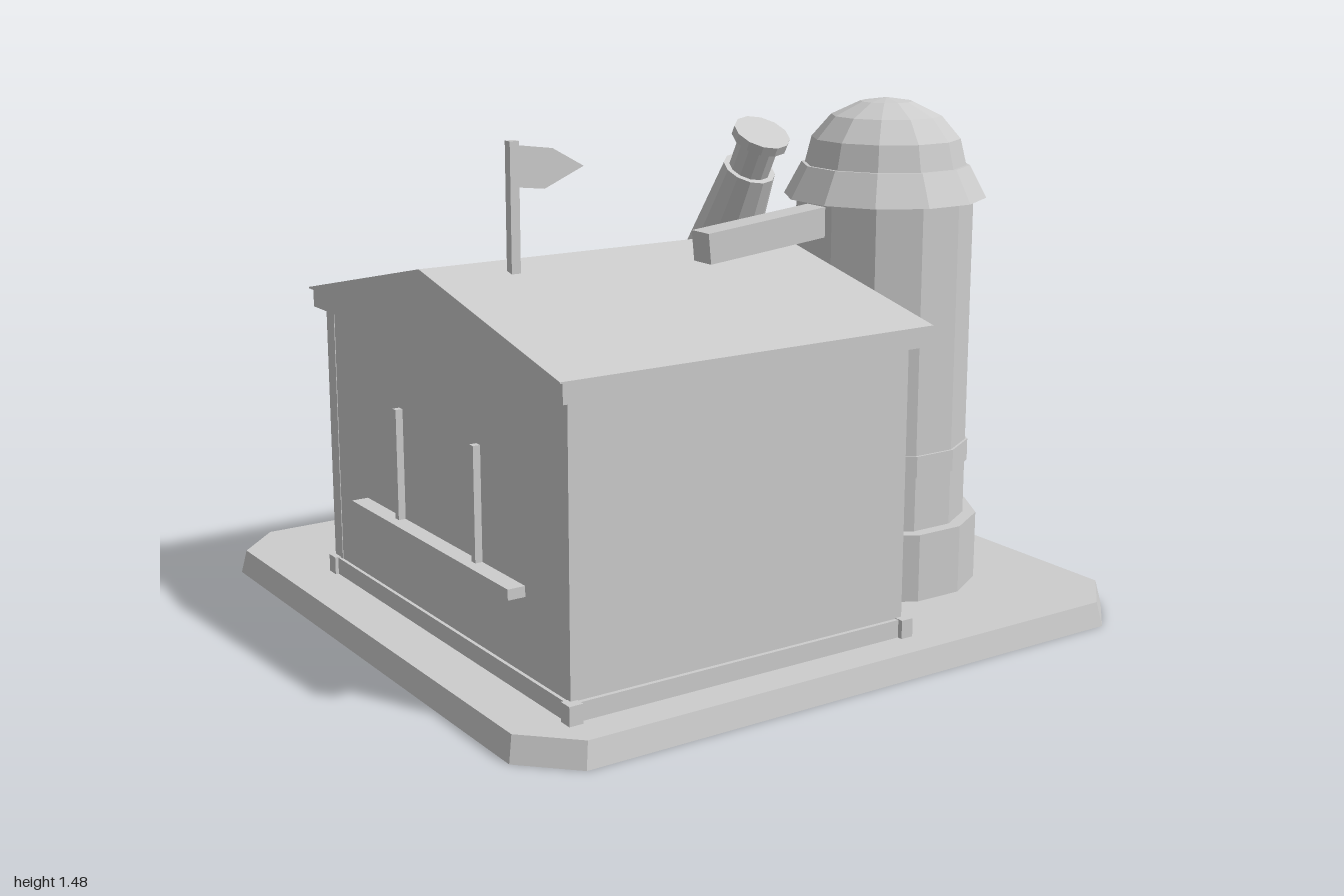
import * as THREE from 'three';

const stone = new THREE.MeshStandardMaterial({ color: 0xcccccc, flatShading: true, side: THREE.DoubleSide });
stone.name = 'plain grey';

export function createModel() {
  const model = new THREE.Group();
  model.name = 'laboratory';

  function add(name, geometry, x = 0, y = 0, z = 0) {
    const mesh = new THREE.Mesh(geometry, stone);
    mesh.name = name;
    mesh.position.set(x, y, z);
    model.add(mesh);
    return mesh;
  }

  // Box given by its lower and upper limits on each axis
  function box(name, x0, x1, y0, y1, z0, z1) {
    return add(name, new THREE.BoxGeometry(x1 - x0, y1 - y0, z1 - z0),
      (x0 + x1) / 2, (y0 + y1) / 2, (z0 + z1) / 2);
  }

  const vectors = points => points.map(p => new THREE.Vector2(...p));

  // Outline in (z, y) extruded along x from x0 to x1
  function sideProfile(name, points, x0, x1) {
    const shape = new THREE.Shape(vectors(points));
    const geo = new THREE.ExtrudeGeometry(shape, { depth: x1 - x0, bevelEnabled: false });
    geo.rotateY(-Math.PI / 2);
    return add(name, geo, x1, 0, 0);
  }

  function lathe(name, points, sides, x, y, z) {
    return add(name, new THREE.LatheGeometry(vectors(points), sides), x, y, z);
  }

  // Ground slab with cut corners and leaning sides, open under the house and porch
  const w = 1, d = 0.973, c = 0.135;
  const slabShape = new THREE.Shape(vectors([
    [-w + c, -d], [w - c, -d], [w, -d + c], [w, d - c],
    [w - c, d], [-w + c, d], [-w, d - c], [-w, -d + c],
  ]));
  slabShape.holes.push(new THREE.Path(vectors([
    [-0.84, -0.855], [0.23, -0.855], [0.23, 0.5], [-0.08, 0.5],
    [-0.08, 0.72], [-0.615, 0.72], [-0.615, 0.5], [-0.84, 0.5],
  ])));
  const slab = new THREE.ExtrudeGeometry(slabShape, { depth: 0.07, bevelEnabled: false });
  slab.rotateX(-Math.PI / 2);
  const sp = slab.attributes.position;
  for (let i = 0; i < sp.count; i++) {
    const k = 1 - 0.2 * sp.getY(i);
    sp.setXYZ(i, sp.getX(i) * k, sp.getY(i), sp.getZ(i) * k);
  }
  add('groundSlab', slab);

  // Footings fill the openings and leave a narrow groove around them
  box('houseFooting', -0.815, 0.205, 0, 0.07, -0.47, 0.83);
  box('porchFooting', -0.595, -0.1, 0, 0.07, -0.7, -0.54);

  // House walls, skirting with corner blocks, back frame and roof
  box('walls', -0.83, 0.22, 0.07, 0.9, -0.475, 0.843);
  box('skirting', -0.84, 0.23, 0.07, 0.12, -0.502, 0.855);
  for (const [a, b] of [[-0.85, -0.81], [0.2, 0.238]]) {
    box('frontCornerBlock', a, b, 0.07, 0.122, 0.83, 0.87);
    box('backCornerBlock', a, b, 0.07, 0.122, -0.51, -0.47);
  }
  for (const [a, b] of [[-0.832, -0.79], [0.18, 0.222]]) {
    box('cornerPost', a, b, 0.07, 0.88, -0.505, -0.455);
  }
  box('backBeam', -0.83, 0.22, 0.845, 0.89, -0.505, -0.47);
  box('eaveBand', -0.866, 0.26, 0.877, 0.932, -0.515, 0.883);
  sideProfile('roof', [[-0.523, 0.93], [0.888, 0.93], [0.888, 0.934], [0.182, 1.092], [-0.523, 0.934]], -0.876, 0.264);

  // Ledges and upright bars on both side walls
  box('leftLedge', -0.88, -0.82, 0.326, 0.355, -0.27, 0.63);
  box('rightLedge', 0.21, 0.27, 0.3, 0.33, -0.345, 0.71);
  for (const z of [-0.04, 0.4]) box('leftBar', -0.851, -0.829, 0.355, 0.668, z - 0.01, z + 0.01);
  for (const z of [-0.15, 0.52]) box('rightBar', 0.219, 0.242, 0.33, 0.69, z - 0.01, z + 0.01);

  // Flagpole and pennant
  box('flagpole', -0.655, -0.628, 1.05, 1.417, 0.253, 0.279);
  add('pennant', new THREE.ShapeGeometry(new THREE.Shape(vectors([
    [-0.63, 1.295], [-0.545, 1.285], [-0.425, 1.337], [-0.52, 1.39], [-0.63, 1.405],
  ]))), 0, 0, 0.266);

  // Back porch
  box('porchFloor', -0.627, -0.067, 0.07, 0.09, -0.725, -0.475);
  for (const x of [-0.555, -0.145]) {
    box('porchPost', x - 0.023, x + 0.023, 0.085, 0.55, -0.688, -0.642);
  }
  box('doorBar', -0.235, -0.215, 0.09, 0.55, -0.505, -0.475);
  const hip = new THREE.BoxGeometry(0.52, 0.095, 0.28);
  const hp = hip.attributes.position;
  for (let i = 0; i < hp.count; i++) {
    if (hp.getY(i) > 0) hp.setXYZ(i, hp.getX(i) * 0.54, hp.getY(i), 0);
  }
  add('porchRoof', hip, -0.347, 0.588, -0.568);

  // Flower box
  box('flowerBox', -0.745, -0.47, 0.245, 0.29, -0.56, -0.475);
  for (let i = 0; i < 6; i++) {
    const x = -0.72 + i * 0.045, z = -0.533 - (i % 2) * 0.012;
    box('flowerStem', x - 0.004, x + 0.004, 0.28, 0.32, z - 0.004, z + 0.004);
    add('flower', new THREE.CylinderGeometry(0.02, 0.008, 0.03, 6), x, 0.333, z);
  }

  // Tower with a flared collar and a slightly narrower dome
  const tx = 0.508, tz = 0.39;
  lathe('tower', [
    [0.291, 0.07], [0.291, 0.268], [0.253, 0.268], [0.253, 0.427], [0.26, 0.427],
    [0.26, 0.49], [0.253, 0.49], [0.253, 1.2], [0.289, 1.2], [0.24, 1.292], [0.22, 1.292],
  ], 12, tx, 0, tz).rotation.y = Math.PI / 12;
  lathe('dome', [
    [0.23, 1.292], [0.212, 1.366], [0.157, 1.43], [0.075, 1.469], [0, 1.48],
  ], 12, tx, 0, tz).rotation.y = Math.PI / 12;

  // Beam reaching from the tower over the roof
  const beam = add('towerBeam', new THREE.BoxGeometry(0.45, 0.085, 0.08), 0.095, 1.13, 0.387);
  beam.rotation.z = 0.1;

  // Microscope foot, arm and stage
  const mx = 0.507;
  add('microscopeFoot', new THREE.CylinderGeometry(0.28, 0.322, 0.14, 14), 0.517, 0.14, -0.38);
  sideProfile('microscopeArm', [
    [-0.12, 0.86], [-0.1, 0.58], [-0.19, 0.2], [-0.325, 0.2], [-0.265, 0.45], [-0.24, 0.6], [-0.265, 0.86],
  ], mx - 0.055, mx + 0.055);
  box('stage', 0.288, 0.722, 0.46, 0.51, -0.607, -0.18);
  box('slide', 0.387, 0.627, 0.505, 0.53, -0.535, -0.36);
  box('slideSample', 0.45, 0.56, 0.52, 0.535, -0.48, -0.415);
  add('mirror', new THREE.BoxGeometry(0.11, 0.11, 0.045), mx, 0.465, -0.325).rotation.x = 0.45;

  // Focus knob and tube bracket
  add('focusKnob', new THREE.CylinderGeometry(0.099, 0.099, 0.085, 12), 0.6, 0.892, -0.192)
    .rotation.z = Math.PI / 2;
  add('tubeBracket', new THREE.BoxGeometry(0.1, 0.12, 0.19), mx, 0.97, -0.26).rotation.x = 0.5;

  // Tilted tube with eyepiece and objective
  lathe('microscopeTube', [
    [0, 0], [0.064, 0], [0.088, 0.185], [0.119, 0.185], [0.084, 0.55], [0.066, 0.55],
    [0.066, 0.655], [0.09, 0.655], [0.09, 0.685], [0, 0.685],
  ], 12, mx, 0.726, -0.524).rotation.x = 0.502;

  return model;
}
